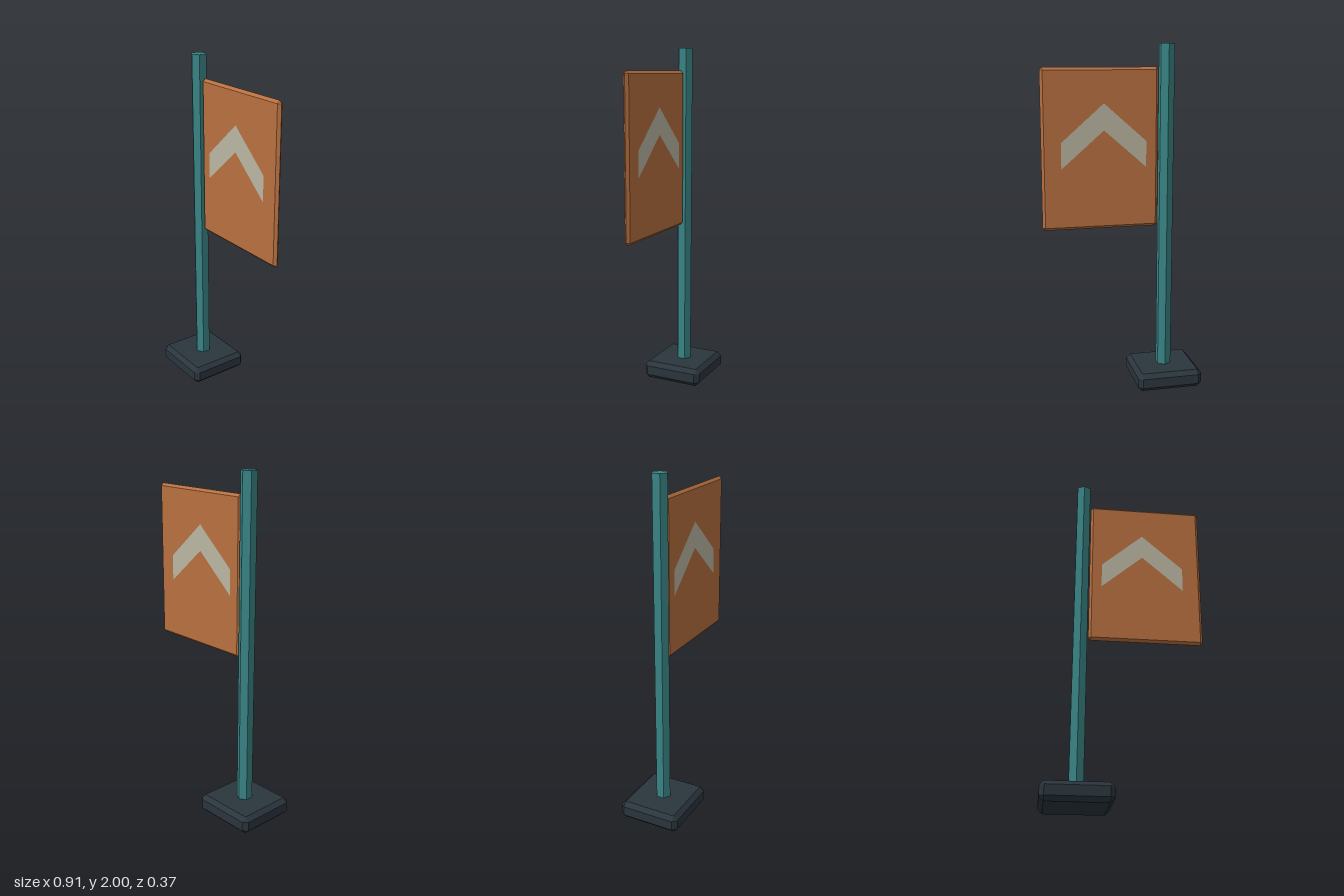
import * as THREE from 'three';
import { ConvexGeometry } from 'three/addons/geometries/ConvexGeometry.js';

const POLE_X = -0.262;
const PANEL_X = 0.12;
const PANEL_Y = 1.418;
const PANEL_HALF_DEPTH = 0.016;

const paint = (color) => new THREE.MeshStandardMaterial({ color, flatShading: true });

// Box with every edge and corner cut flat by the chamfer c
function chamferedBox(w, h, d, c) {
  const half = [w / 2, h / 2, d / 2];
  const points = [];
  for (const sx of [-1, 1]) for (const sy of [-1, 1]) for (const sz of [-1, 1]) {
    for (let axis = 0; axis < 3; axis++) {
      const p = half.map((v, i) => (i === axis ? v : v - c));
      points.push(new THREE.Vector3(sx * p[0], sy * p[1], sz * p[2]));
    }
  }
  return new ConvexGeometry(points);
}

export function createModel() {
  const group = new THREE.Group();
  const add = (name, geometry, material, x, y, z) => {
    const mesh = new THREE.Mesh(geometry, material);
    mesh.name = name;
    mesh.position.set(x, y, z);
    group.add(mesh);
    return mesh;
  };

  // Heavy square foot
  add('base', chamferedBox(0.387, 0.106, 0.366, 0.025), paint(0x2b353d), POLE_X, 0.053, 0);

  // Hexagonal pole, one corner facing forward
  add('pole', new THREE.CylinderGeometry(0.046, 0.046, 1.92, 6), paint(0x3a8586), POLE_X, 1.04, 0);

  // Sign board with edges bevelled almost to a point
  add('panel', chamferedBox(0.67, 0.908, PANEL_HALF_DEPTH * 2, 0.015), paint(0xb87040), PANEL_X, PANEL_Y, 0);

  // Upward chevron on both faces of the board
  const chevron = new THREE.Shape([
    [0, 0.257], [-0.244, 0.042], [-0.244, -0.106],
    [0, 0.107], [0.244, -0.106], [0.244, 0.042],
  ].map(([x, y]) => new THREE.Vector2(x, y)));
  const chevronGeometry = new THREE.ShapeGeometry(chevron);
  const chevronPaint = paint(0xbab6a2);
  const chevronX = 0.101;
  const offset = PANEL_HALF_DEPTH + 0.001;
  add('frontChevron', chevronGeometry, chevronPaint, chevronX, PANEL_Y, offset);
  add('backChevron', chevronGeometry, chevronPaint, chevronX, PANEL_Y, -offset).rotation.y = Math.PI;

  return group;
}
